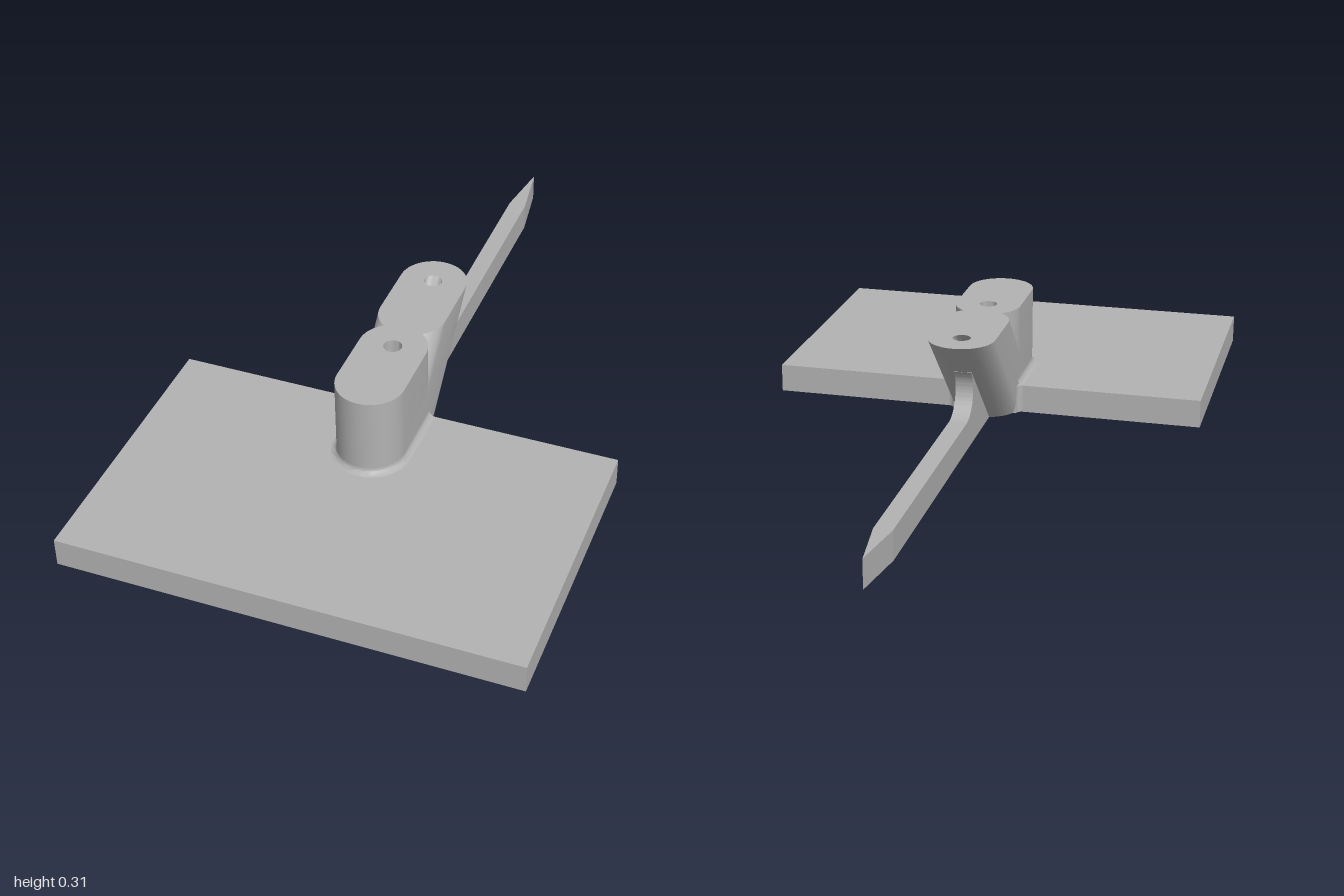
import * as THREE from 'three';
import { toCreasedNormals } from 'three/addons/utils/BufferGeometryUtils.js';

const R = 0.093;        // half width of the post
const HOLE = 0.025;     // bore radius
const TOP = 0.31;       // post height
const PLATE = 0.08;     // plate thickness
const EDGE = 0.22;      // back edge of the plate
const FRONT = 0.405;    // centre of the post's front round
const BORE = 0.245;     // where both bores meet at the bottom
const FILLET = 0.017;

const grey = new THREE.MeshStandardMaterial({ color: 0xb2b2b2, side: THREE.DoubleSide });
grey.name = 'plain grey';

// Points [x, z] on an arc
function arc(cx, cz, r, from, to, n) {
  return Array.from({ length: n + 1 }, (_, i) => {
    const t = from + (to - from) * i / n;
    return [cx + r * Math.cos(t), cz + r * Math.sin(t)];
  });
}

// Skin over rings of [x, z] points, each at its own height
function loft(rings, heights, closed = true) {
  const n = rings[0].length;
  const position = [], index = [];
  rings.forEach((ring, j) => ring.forEach(([x, z]) => position.push(x, heights[j], z)));
  for (let j = 0; j < rings.length - 1; j++) {
    for (let i = 0; i < (closed ? n : n - 1); i++) {
      const a = j * n + i, b = j * n + (i + 1) % n;
      index.push(a, a + n, b, b, a + n, b + n);
    }
  }
  const g = new THREE.BufferGeometry();
  g.setAttribute('position', new THREE.Float32BufferAttribute(position, 3));
  g.setIndex(index);
  return toCreasedNormals(g, 0.6);
}

// Outline of the forked post: an upright slot joined with one leaning back at 45 degrees
function postRing(y) {
  const lean = Math.min(BORE, 0.405 - y);
  const back = BORE - y;
  const t = Math.asin((BORE - lean) / 2 / R);
  const P = Math.PI;
  return [
    ...arc(0, FRONT, R, 0, P, 24),
    ...arc(0, BORE, R, P, P + t, 8),
    ...arc(0, lean, R, P - t, P, 8),
    ...arc(0, back, R, P, 2 * P, 24),
    ...arc(0, lean, R, 0, t, 8),
    ...arc(0, BORE, R, -t, 0, 8),
  ];
}

// Flat cap with round holes
function cap(ring, y, holes, up) {
  const s = up ? -1 : 1;
  const shape = new THREE.Shape(ring.map(([x, z]) => new THREE.Vector2(x, s * z)));
  for (const z of holes) {
    shape.holes.push(new THREE.Path(
      arc(0, s * z, HOLE, 0, Math.PI * 2, 24).slice(0, 24).map(p => new THREE.Vector2(...p))));
  }
  return new THREE.ShapeGeometry(shape).rotateX(s * Math.PI / 2).translate(0, y, 0);
}

// Plan outline of [x, z] points raised to a height
function slab(points, height) {
  const shape = new THREE.Shape(points.map(([x, z]) => new THREE.Vector2(x, -z)));
  return new THREE.ExtrudeGeometry(shape, { depth: height, bevelEnabled: false }).rotateX(-Math.PI / 2);
}

export function createModel() {
  const model = new THREE.Group();
  model.name = 'bracket';
  const add = (name, geometry, parent = model) => {
    const mesh = new THREE.Mesh(geometry, grey);
    mesh.name = name;
    parent.add(mesh);
    return mesh;
  };

  // Base plate, notched inside the post so the bore stays open
  add('basePlate', slab([
    [-0.62, 1], [0.62, 1], [0.62, EDGE], [0.05, EDGE], [0.05, 0.3],
    [-0.05, 0.3], [-0.05, EDGE], [-0.62, EDGE],
  ], PLATE));

  // Forked post with its caps and bores
  const post = new THREE.Group();
  post.name = 'forkedPost';
  model.add(post);
  const heights = [0, 0.08];
  for (let i = 0; i <= 12; i++) heights.push(0.16 + (TOP - 0.16) * i / 12);
  add('postWall', loft(heights.map(postRing), heights), post);
  add('postTop', cap(postRing(TOP), TOP, [BORE, BORE - TOP], true), post);
  add('postBottom', cap(postRing(0), 0, [BORE], false), post);
  const bore = z => arc(0, z, HOLE, Math.PI * 2, 0, 24).slice(0, 24);
  add('uprightBore', loft([bore(BORE), bore(BORE)], [0, TOP]), post);
  add('leaningBore', loft([bore(BORE), bore(BORE - TOP)], [0, TOP]), post);

  // Small fillet where the post meets the plate
  const rings = [], levels = [];
  for (let i = 0; i <= 6; i++) {
    const t = i / 6 * Math.PI / 2;
    const r = R + FILLET * (1 - Math.sin(t));
    rings.push([[r, EDGE], ...arc(0, FRONT, r, 0, Math.PI, 24), [-r, EDGE]]);
    levels.push(PLATE + FILLET * (1 - Math.cos(t)));
  }
  add('postFillet', loft(rings, levels, false));

  // Corner fillets on the back edge of the plate
  for (const side of [-1, 1]) {
    const curve = arc(R + FILLET, EDGE - FILLET, FILLET, Math.PI / 2, Math.PI, 6);
    const points = [...curve, [R - 0.01, EDGE - FILLET], [R - 0.01, EDGE]];
    const outline = points.map(([x, z]) => [side * x, z]);
    add(side > 0 ? 'leftEdgeFillet' : 'rightEdgeFillet', slab(outline, PLATE));
  }

  // Thin tail rib with a round throat under the leaning arm
  const profile = new THREE.Shape();
  profile.moveTo(0.188, 0);
  profile.lineTo(-0.02, 0.208);
  profile.absarc(-0.11, 0.155, 0.075, Math.PI / 4, -Math.PI / 2, true);
  profile.lineTo(-0.83, PLATE);
  profile.lineTo(-0.83, 0);
  const rib = new THREE.ExtrudeGeometry(profile, { depth: 0.05, bevelEnabled: false, curveSegments: 20 });
  rib.translate(0, 0, -0.025).rotateY(-Math.PI / 2);
  add('tailRib', toCreasedNormals(rib, 0.6));

  // Pointed end of the tail
  add('tailTip', slab([[-0.025, -0.83], [0.025, -0.83], [0, -1]], PLATE));

  return model;
}
